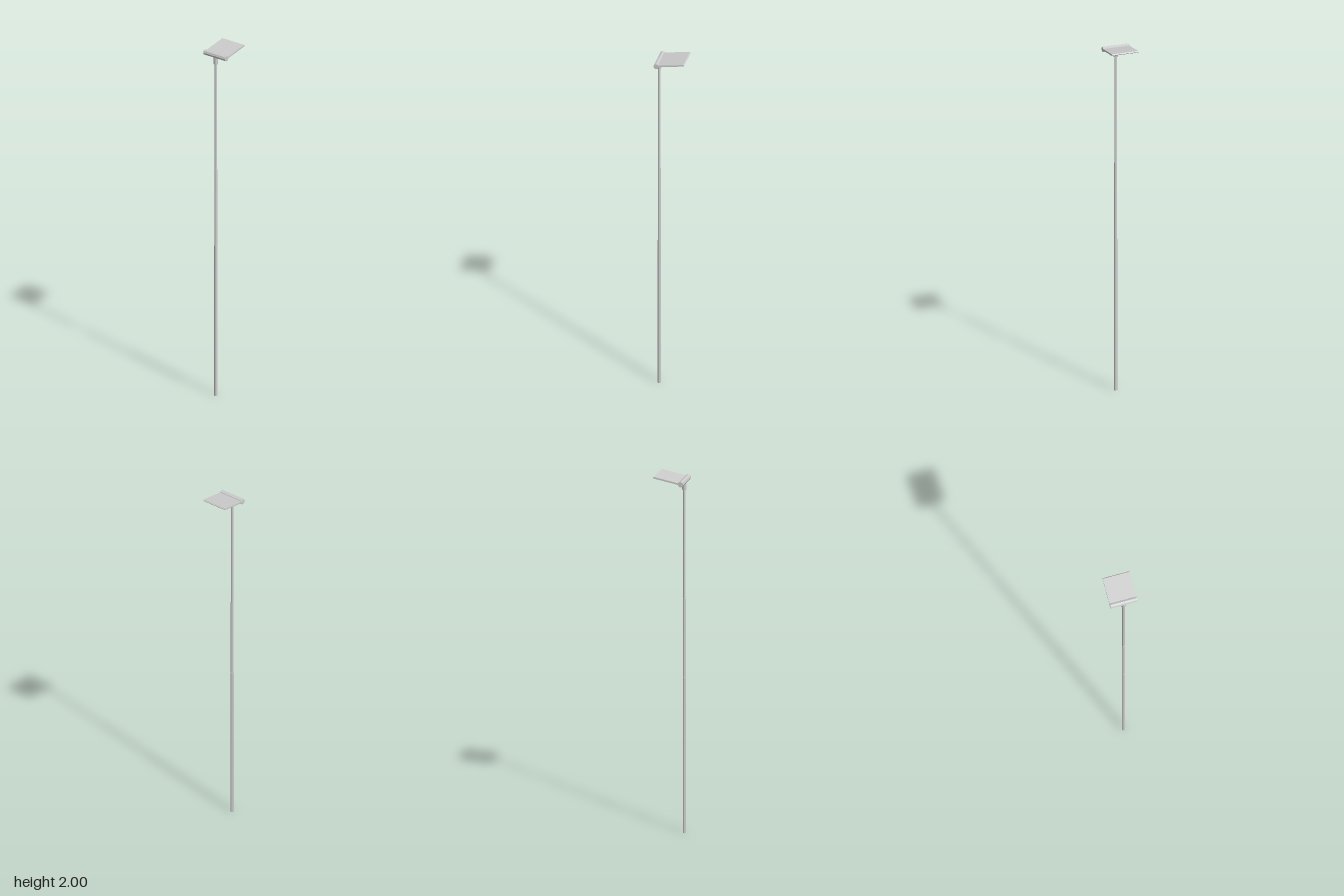
import * as THREE from 'three';

const POLE_X = -0.07;
const HINGE_Y = 1.97;
const WIDTH = 0.148;

export function createModel() {
  const model = new THREE.Group();
  model.name = 'streetLamp';
  const material = new THREE.MeshStandardMaterial({ color: 0xcccccc, flatShading: true });

  const add = (name, geometry, parent = model) => {
    const mesh = new THREE.Mesh(geometry, material);
    mesh.name = name;
    parent.add(mesh);
    return mesh;
  };

  // Upright tube between two heights
  const tube = (name, radius, y0, y1) => {
    const mesh = add(name, new THREE.CylinderGeometry(radius, radius, y1 - y0, 8));
    mesh.position.set(POLE_X, (y0 + y1) / 2, 0);
  };

  // Pole stepping inwards towards the top
  tube('lowerPole', 0.0095, 0, 0.87);
  tube('middlePole', 0.0083, 0.87, 1.31);
  tube('upperPole', 0.007, 1.31, 1.93);
  tube('collar', 0.0125, 1.92, HINGE_Y);

  // Eight-sided crossbar carrying the lamp head
  const bar = add('crossbar', new THREE.CylinderGeometry(0.015, 0.015, WIDTH, 8));
  bar.rotation.x = Math.PI / 2;
  bar.position.set(POLE_X, HINGE_Y, 0);

  // Flat lamp head, tilted upwards away from the pole
  const head = new THREE.Group();
  head.name = 'lampHead';
  head.position.set(POLE_X, HINGE_Y, 0);
  head.rotation.z = THREE.MathUtils.degToRad(9.5);
  model.add(head);

  // Side profile of the housing, with a chamfered outer edge
  const profile = new THREE.Shape([
    [0, -0.004], [0.153, -0.004], [0.156, -0.001], [0.152, 0.005], [0, 0.005],
  ].map(([x, y]) => new THREE.Vector2(x, y)));
  const housing = new THREE.ExtrudeGeometry(profile, { depth: WIDTH, bevelEnabled: false });
  housing.translate(0, 0, -WIDTH / 2);
  add('housing', housing, head);

  // Light panel on the underside
  const panel = add('lightPanel', new THREE.BoxGeometry(0.128, 0.002, WIDTH - 0.014), head);
  panel.position.set(0.083, -0.004, 0);

  return model;
}
